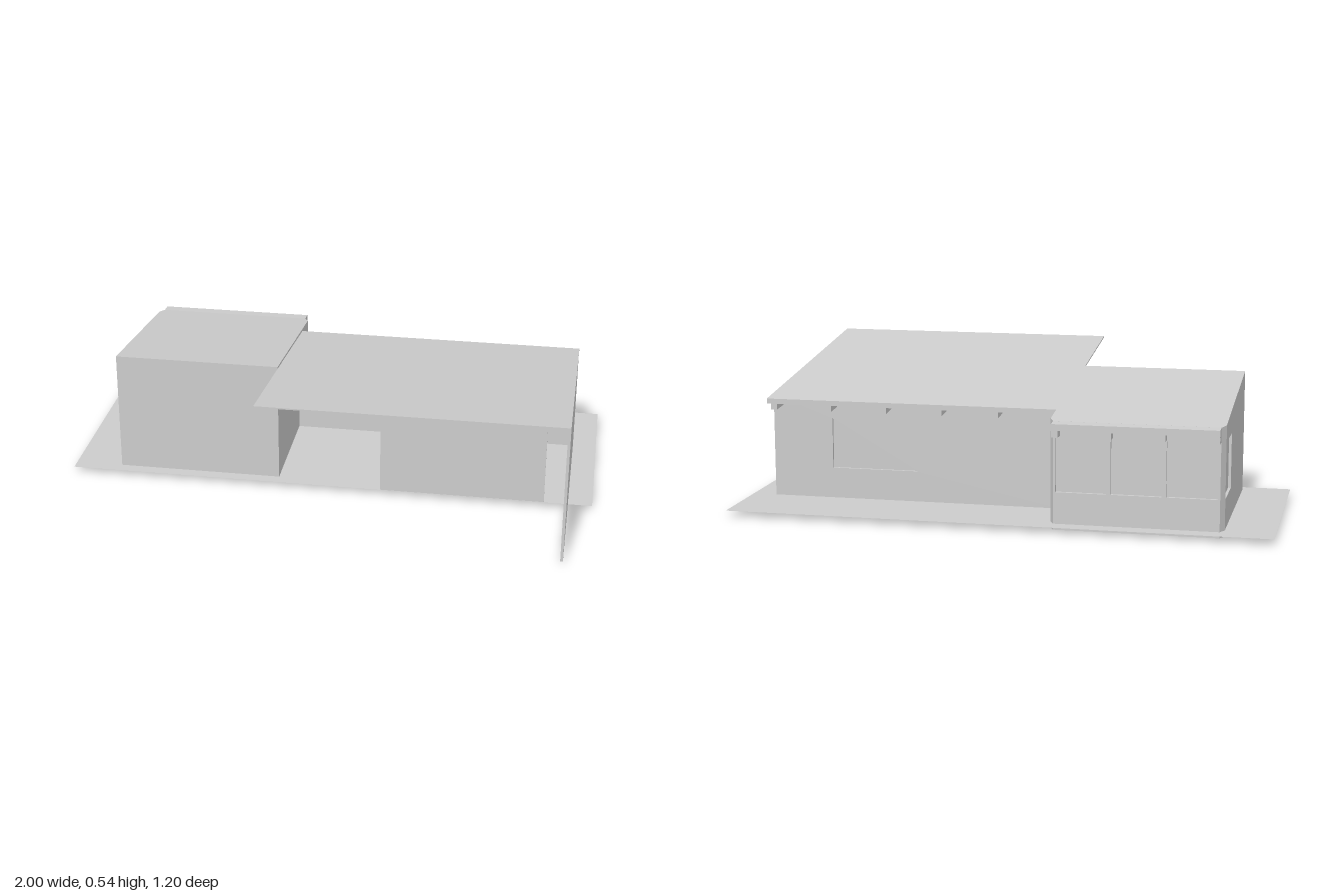
import * as THREE from 'three';

const mat = new THREE.MeshStandardMaterial({ color: 0xcccccc, flatShading: true, side: THREE.DoubleSide });
const GROUND = 0.025;

const polygon = (pts) => new THREE.Shape(pts.map(([a, b]) => new THREE.Vector2(a, b)));
const rect = (a0, a1, b0, b1) => [[a0, b0], [a1, b0], [a1, b1], [a0, b1]];

function extrude(pts, holes, depth) {
  const shape = polygon(pts);
  shape.holes = holes.map(polygon);
  return new THREE.ExtrudeGeometry(shape, { depth, bevelEnabled: false });
}

export function createModel() {
  const model = new THREE.Group();
  const add = (name, geometry, parent = model) => {
    const mesh = new THREE.Mesh(geometry, mat);
    mesh.name = name;
    parent.add(mesh);
    return mesh;
  };
  const group = (name) => {
    const g = new THREE.Group();
    g.name = name;
    model.add(g);
    return g;
  };
  // Side profile in (z, y), extruded from x0 to x1
  const flip = (pts) => pts.map(([z, y]) => [-z, y]);
  const sideProfile = (name, pts, x0, x1, parent, holes = []) =>
    add(name, extrude(flip(pts), holes.map(flip), x1 - x0).rotateY(Math.PI / 2).translate(x0, 0, 0), parent);
  // Outline in (x, y), extruded from z0 to z1
  const facing = (name, pts, z0, z1, parent, holes = []) =>
    add(name, extrude(pts, holes, z1 - z0).translate(0, 0, z0), parent);
  const box = (name, x0, x1, y0, y1, z0, z1, parent) =>
    add(name, new THREE.BoxGeometry(x1 - x0, y1 - y0, z1 - z0)
      .translate((x0 + x1) / 2, (y0 + y1) / 2, (z0 + z1) / 2), parent);

  // Ground sheet
  add('ground', new THREE.PlaneGeometry(2, 0.79).rotateX(-Math.PI / 2).translate(0, GROUND, -0.205));

  // Main building: open at the front under the sloping roof
  const main = group('mainBuilding');
  sideProfile('mainSideWall', [[0.595, 0.015], [-0.31, 0.024], [-0.31, 0.414], [0.595, 0.538]], 0.9, 0.91, main);
  const mainWindow = rect(0.35, 0.68, 0.14, 0.33);
  facing('mainBackWall', rect(-0.2, 0.9, 0.024, 0.41), -0.31, -0.298, main, [mainWindow]);
  facing('mainBackWindow', mainWindow, -0.3, -0.297, main);
  facing('frontPanel', rect(0.2, 0.82, GROUND, 0.405), 0.18, 0.188, main);
  sideProfile('mainRoof', [[0.597, 0.538], [0.597, 0.543], [-0.385, 0.409], [-0.385, 0.404]], -0.197, 0.91, main);
  sideProfile('mainFascia', [[-0.385, 0.406], [-0.385, 0.39], [-0.375, 0.39], [-0.375, 0.408]], -0.197, 0.91, main);
  for (let i = 0; i < 6; i++) {
    const x = 0.885 - i * 0.212;
    sideProfile('mainRafterTail', [[-0.31, 0.373], [-0.378, 0.367], [-0.378, 0.394], [-0.31, 0.404]],
      x - 0.012, x + 0.012, main);
  }

  // Wing: closed volume with a window in each side and three at the back
  const wing = group('wing');
  const L = -0.82, R = -0.197;
  const roofY = (z) => 0.467 + 0.134 * z;
  const sideWindow = rect(-0.506, -0.325, 0.137, 0.338);
  for (const s of [-1, 1]) {
    const outer = s < 0 ? L : R;
    const span = (a, b) => [outer - s * a, outer - s * b].sort((p, q) => p - q);
    sideProfile('wingSideWall', [[0.145, 0.003], [-0.51, 0.003], [-0.51, roofY(-0.51)], [0.145, roofY(0.145)]],
      ...span(0, 0.012), wing, [sideWindow]);
    sideProfile('wingSideWindow', sideWindow, ...span(0.01, 0.013), wing);
    // Chamfered back corner, drawn in plan and raised
    const inX = outer - s * 0.015;
    add('wingCorner', extrude([[outer, 0.51], [inX, 0.54], [inX, 0.51]], [], 0.393)
      .rotateX(-Math.PI / 2).translate(0, 0.003, 0), wing);
  }
  facing('wingFrontWall', rect(L, R, 0.003, roofY(0.145)), 0.135, 0.145, wing);

  // Back windows with thin frames
  const bL = L + 0.015, bR = R - 0.015;
  const pitch = (bR - bL) / 3;
  const backWindows = [0, 1, 2].map((i) =>
    rect(bL + i * pitch + 0.008, bL + (i + 1) * pitch - 0.008, 0.14, 0.34));
  facing('wingBackWall', rect(bL, bR, 0.003, 0.395), -0.54, -0.526, wing, backWindows);
  backWindows.forEach((w) => facing('wingBackWindow', w, -0.528, -0.525, wing));

  // Wing roof, shallower at the eave, with fascia and rafter tails
  add('wingRoof', extrude([[L, -0.145], [R, -0.145], [R, 0.51], [bR, 0.54], [bL, 0.54], [L, 0.51]], [], 0.005)
    .rotateX(-Math.PI / 2).applyMatrix4(new THREE.Matrix4().set(
      1, 0, 0, 0, 0, 1, 0.134, 0.464, 0, 0, 1, 0, 0, 0, 0, 1)), wing);
  sideProfile('wingEave', [[-0.53, 0.397], [-0.585, 0.394], [-0.585, 0.37], [-0.54, 0.375]], bL, bR, wing);
  for (let i = 0; i < 4; i++) {
    const x = bL + 0.012 + (i * (bR - bL - 0.024)) / 3;
    box('wingRafterTail', x - 0.012, x + 0.012, 0.345, 0.374, -0.582, -0.538, wing);
  }
  return model;
}
